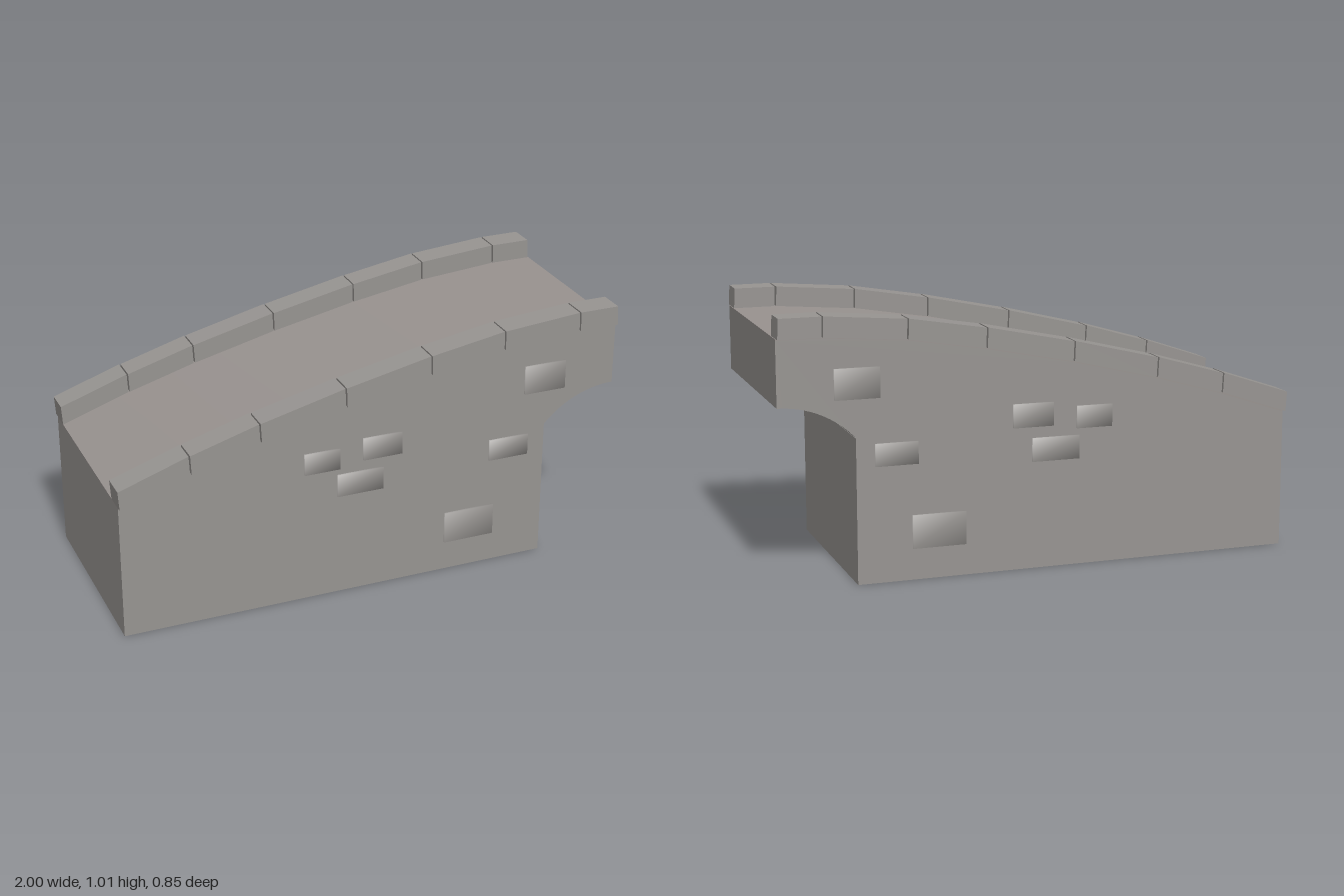
import * as THREE from 'three';
import { mergeVertices, toCreasedNormals } from 'three/addons/utils/BufferGeometryUtils.js';

// Walkway line: x, y at each curb joint
const LINE = [[-0.995, 0.537], [-0.725, 0.628], [-0.455, 0.705], [-0.12, 0.786],
  [0.22, 0.856], [0.52, 0.905], [0.835, 0.93], [1, 0.93]];
const CURB_HEIGHT = 0.076;
const DECK = 0.006;

export function createModel() {
  const model = new THREE.Group();
  const stone = new THREE.MeshStandardMaterial({ color: 0x979491 });
  const paving = new THREE.MeshStandardMaterial({ color: 0x98928f });

  const add = (name, geometry, material, parent = model) => {
    const mesh = new THREE.Mesh(geometry, material);
    mesh.name = name;
    parent.add(mesh);
    return mesh;
  };
  // Extrude a side profile across z, centred on the given z
  const slab = (shape, depth, z = 0) => {
    const g = new THREE.ExtrudeGeometry(shape, { depth, bevelEnabled: false, curveSegments: 8 });
    g.translate(0, 0, z - depth / 2);
    return toCreasedNormals(g, 0.4);
  };

  // Bridge end with half an arch cut under the high side
  const top = LINE.map(([x, y], i) => new THREE.Vector2(i ? x : -0.995, y));
  const body = new THREE.Shape();
  body.moveTo(-0.995, 0);
  body.lineTo(0.712, 0);
  body.lineTo(0.712, 0.55);
  body.absarc(1, 0.292, 0.388, 2.414, Math.PI / 2, true);
  [...top].reverse().forEach((p) => body.lineTo(p.x, p.y - DECK));
  add('bridgeBody', slab(body, 0.804), stone);

  // Thin walking surface
  const deck = new THREE.Shape([...top.map((p) => new THREE.Vector2(p.x, p.y - DECK)), ...[...top].reverse()]);
  add('deck', slab(deck, 0.804), paving);

  // Curb stones with narrow, slightly leaning joints
  for (const side of [1, -1]) {
    const curb = new THREE.Group();
    curb.name = side > 0 ? 'frontCurb' : 'backCurb';
    model.add(curb);
    const lean = [0.005, 0.004, 0.004, 0.003, 0.002, 0.002, 0.002, 0.004];
    for (let i = 0; i < LINE.length - 1; i++) {
      const [x0, y0] = LINE[i], [x1, y1] = LINE[i + 1];
      const a = x0 + (i ? 0.003 : 0), b = x1 - 0.003;
      const stoneShape = new THREE.Shape([
        new THREE.Vector2(a, y0), new THREE.Vector2(b, y1),
        new THREE.Vector2(b - lean[i + 1], y1 + CURB_HEIGHT),
        new THREE.Vector2(a - lean[i], y0 + CURB_HEIGHT),
      ]);
      add('curbStone', slab(stoneShape, 0.102, side * 0.374), stone, curb);
    }
  }

  // Raised bricks on both walls: x, y, width, height
  const bricks = [
    [0.705, 0.753, 0.17, 0.115], [-0.21, 0.57, 0.14, 0.085], [0.033, 0.59, 0.157, 0.09],
    [-0.056, 0.457, 0.185, 0.09], [0.56, 0.483, 0.162, 0.085], [0.4, 0.183, 0.205, 0.127],
  ];
  for (const side of [1, -1]) {
    for (const [x, y, w, h] of bricks) {
      let g = new THREE.BoxGeometry(w, h, 0.03);
      g.deleteAttribute('normal');
      g.deleteAttribute('uv');
      g = mergeVertices(g);
      g.computeVertexNormals();
      add('raisedBrick', g, stone).position.set(x, y, side * 0.395);
    }
  }
  return model;
}
